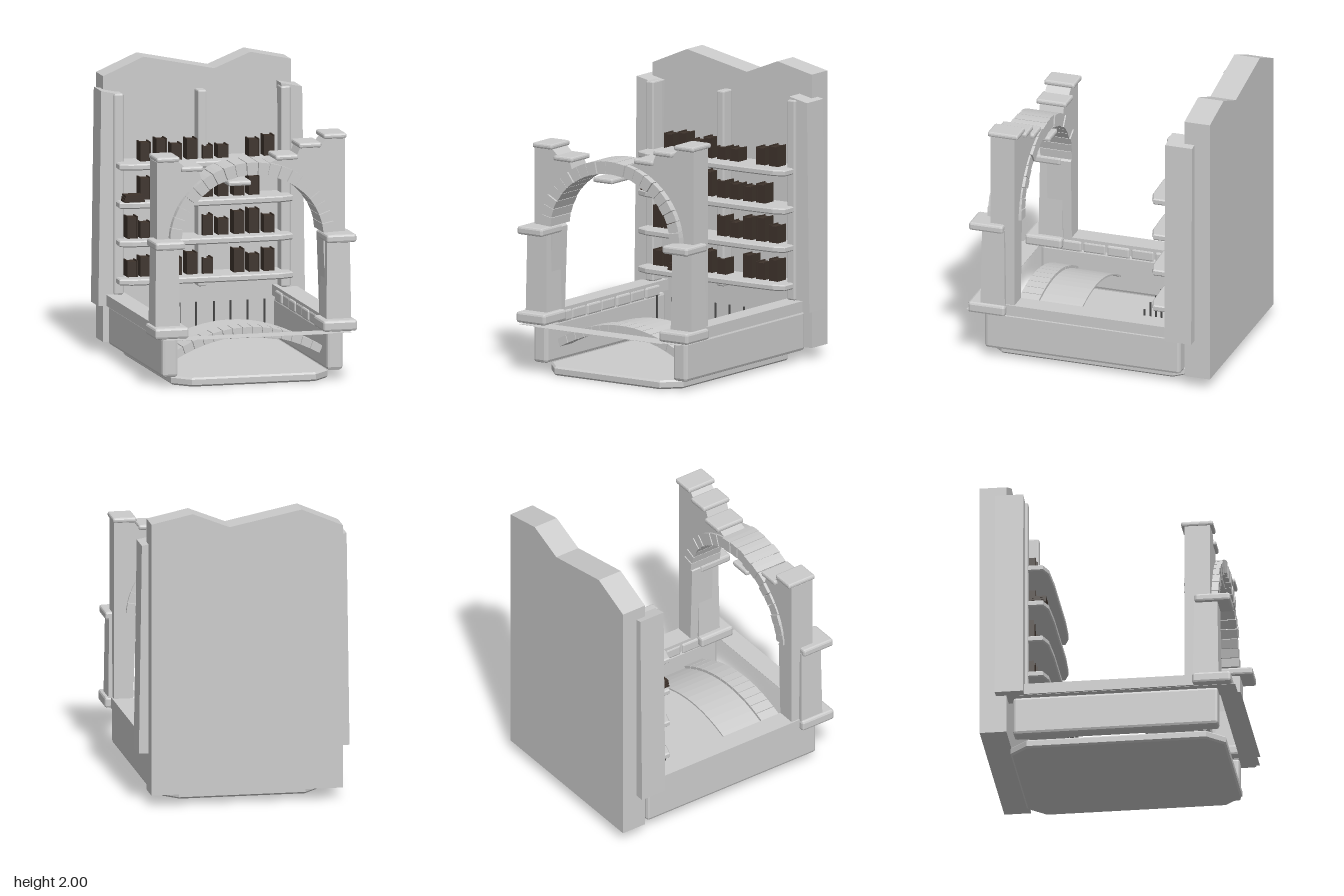
import * as THREE from 'three';
import { RoundedBoxGeometry } from 'three/addons/geometries/RoundedBoxGeometry.js';

export function createModel() {
  const root = new THREE.Group();
  const stone = new THREE.MeshStandardMaterial({ color: 0xcccccc, flatShading: true });
  const thin = new THREE.MeshStandardMaterial({ color: 0xcccccc, side: THREE.DoubleSide });
  const bookMat = new THREE.MeshStandardMaterial({ color: 0x3d322b });
  const metal = new THREE.MeshStandardMaterial({ color: 0x4a4a4a });

  const add = (name, geo, mat = stone, parent = root) => {
    const m = new THREE.Mesh(geo, mat);
    m.name = name;
    parent.add(m);
    return m;
  };
  // Box from its limits; r > 0 chamfers the edges
  const box = (name, x0, x1, y0, y1, z0, z1, r = 0, mat = stone, parent = root) => {
    const s = [x1 - x0, y1 - y0, z1 - z0];
    const geo = r ? new RoundedBoxGeometry(...s, 1, r) : new THREE.BoxGeometry(...s);
    const m = add(name, geo, mat, parent);
    m.position.set((x0 + x1) / 2, (y0 + y1) / 2, (z0 + z1) / 2);
    return m;
  };
  // Same box on the left (+x) and right (-x)
  const pair = (name, x0, x1, ...rest) => {
    box(name + 'Left', x0, x1, ...rest);
    box(name + 'Right', -x1, -x0, ...rest);
  };
  const shapeOf = pts => new THREE.Shape(pts.map(p => new THREE.Vector2(...p)));
  // Front outline extruded from z0 to z1
  const prism = (name, pts, z0, z1, parent = root) => {
    const geo = new THREE.ExtrudeGeometry(shapeOf(pts), { depth: z1 - z0, bevelEnabled: false });
    return add(name, geo.translate(0, 0, z0), stone, parent);
  };
  // Plan outline (x, z) extruded from y0 to y1
  const plate = (name, pts, y0, y1, bevel = 0.008) => {
    const geo = new THREE.ExtrudeGeometry(shapeOf(pts.map(([x, z]) => [x, -z])), {
      depth: y1 - y0 - 2 * bevel, bevelSize: bevel, bevelThickness: bevel, bevelOffset: -bevel, bevelSegments: 1 });
    return add(name, geo.rotateX(-Math.PI / 2).translate(0, y0 + bevel, 0));
  };
  const onEllipse = (a, b, cy, t) => [a * Math.cos(t), cy + b * Math.sin(t)];
  // Row of wedge stones between two ellipses
  const arch = (name, n, t0, t1, outer, inner, z0, z1) => {
    const g = new THREE.Group();
    g.name = name;
    root.add(g);
    for (let i = 0; i < n; i++) {
      const d = (t1 - t0) / n, a = t0 + d * i + d * 0.03, b = t0 + d * (i + 1) - d * 0.03;
      const jut = (i % 3) * 0.004;
      prism('archStone', [onEllipse(...inner, a), onEllipse(...outer, a), onEllipse(...outer, (a + b) / 2),
        onEllipse(...outer, b), onEllipse(...inner, b)], z0 + jut, z1 - jut, g);
    }
  };

  // Ragged back wall and its posts
  prism('backWall', [[-0.65, 0.08], [0.65, 0.08], [0.65, 1.94], [0.37, 2], [0.12, 1.9], [-0.37, 2], [-0.65, 1.88]], -0.87, -0.69);
  prism('backPostLeft', [[0.6, 0.345], [0.715, 0.345], [0.695, 1.77], [0.55, 1.8]], -0.76, -0.57);
  prism('backPostRight', [[-0.715, 0.345], [-0.6, 0.345], [-0.55, 1.77], [-0.695, 1.8]], -0.76, -0.57);
  pair('backPilaster', 0.545, 0.61, 0.42, 1.78, -0.66, -0.55, 0.01);
  box('centrePilaster', -0.03, 0.03, 0.45, 1.78, -0.65, -0.55, 0.01);

  // Foundation slab, side walls and ledges
  plate('foundationSlab', [[-0.54, -0.57], [-0.43, -0.69], [0.43, -0.69], [0.54, -0.57], [0.54, 0.64], [0.43, 0.76], [-0.43, 0.76], [-0.54, 0.64]], 0.005, 0.065, 0.012);
  pair('lowerSideWall', 0.515, 0.625, 0.07, 0.34, -0.65, 0.73, 0.02);
  pair('sideLedge', 0.52, 0.66, 0.345, 0.42, -0.7, 0.57);
  for (let i = 0; i < 7; i++) {
    const z = -0.58 + i * 0.17;
    pair('ledgeBrick', 0.508 + (i % 2) * 0.006, 0.6, 0.325, 0.4, z, z + 0.16, 0.012);
  }
  // Thin paving strips along the front
  pair('sideStrip', 0.52, 0.65, 0.341, 0.343, -0.6, 0.85, 0, thin);
  box('frontStrip', -0.52, 0.52, 0.341, 0.343, 0.73, 0.87, 0, thin);

  // Low vault with its edge arch
  const rise = [];
  for (let i = 0; i <= 16; i++) {
    const x = -0.52 + i * 0.065;
    rise.push([x, 0.345 - 0.15 * (x / 0.52) ** 2]);
  }
  prism('lowVault', [...rise, ...rise.map(([x, y]) => [x, y - 0.012]).reverse()], 0.16, 0.56);
  const lowG = new THREE.Group();
  lowG.name = 'lowArch';
  root.add(lowG);
  for (let i = 0; i < 15; i++) {
    const P = (u, dy) => [u * 0.52, 0.365 + dy - 0.15 * u * u];
    const a = -1 + (2 * i) / 15 + 0.004, b = -1 + (2 * (i + 1)) / 15 - 0.004;
    prism('lowArchStone', [P(a * 0.96, -0.06), P(b * 0.96, -0.06), P(b, 0), P(a, 0)], 0.46, 0.6, lowG);
  }

  // Upright bars under the shelves
  [-0.345, -0.225, -0.11, 0.015, 0.13, 0.245, 0.365].forEach(x => {
    add('bar', new THREE.CylinderGeometry(0.007, 0.007, 0.26, 6), metal).position.set(x, 0.26, -0.31);
  });

  // Front pillars with base and capital
  pair('pillarBase', 0.465, 0.7, 0.345, 0.42, 0.565, 0.825, 0.016);
  [-1, 1].forEach(s => {
    const geo = new THREE.CylinderGeometry(0.078 * Math.SQRT2, 0.086 * Math.SQRT2, 0.55, 4, 1).rotateY(Math.PI / 4);
    add(s > 0 ? 'pillarLeft' : 'pillarRight', geo).position.set(s * 0.592, 0.685, 0.655);
  });
  pair('pillarCapital', 0.49, 0.695, 0.945, 1.0, 0.58, 0.82, 0.014);

  // Broken front wall around the arch, stepped down toward the crown
  const opening = [];
  for (let i = 0; i <= 20; i++) opening.push(onEllipse(0.53, 0.48, 0.98, Math.PI * (0.02 + 0.96 * i / 20)));
  prism('frontWall', [[0.65, 0.4], [0.65, 1.63], [0.52, 1.63], [0.47, 1.575], [0.34, 1.575], [0.31, 1.505], [0.18, 1.505], [0.13, 1.485],
    [0, 1.495], [-0.2, 1.465], [-0.34, 1.39], [-0.36, 1.45], [-0.43, 1.455], [-0.5, 1.52], [-0.65, 1.52], [-0.65, 0.4], [-0.52, 0.4],
    [-0.5, 0.98], ...opening.reverse(), [0.5, 0.98], [0.52, 0.4]], 0.51, 0.68);
  arch('mainArch', 21, 0.05, Math.PI - 0.05, [0.57, 0.52, 0.98], [0.49, 0.435, 0.98], 0.49, 0.73);

  // Flat coping stones
  [[-0.655, -0.495, 1.52], [-0.485, -0.33, 1.45], [-0.16, 0, 1.34], [0.17, 0.325, 1.5], [0.33, 0.485, 1.575], [0.5, 0.66, 1.63]]
    .forEach(([x0, x1, y]) => box('copingStone', x0, x1, y, y + 0.035, 0.485, 0.7, 0.012));

  // Shelves
  const shelf = [[-0.55, -0.67], [0.55, -0.67], [0.56, -0.57], [0.6, -0.55], [0.6, -0.45], [0.52, -0.42],
    [0.3, -0.41], [-0.3, -0.41], [-0.52, -0.42], [-0.6, -0.45], [-0.6, -0.55], [-0.56, -0.57]];
  const shelfY = [0.54, 0.8, 1.06, 1.32];
  shelfY.forEach(y => plate('shelf', shelf, y - 0.042, y));

  // Books: [x, height] for each shelf, from the lowest up
  const rows = [
    [[-0.49, 0.11], [-0.4, 0.135], [-0.29, 0.16], [-0.185, 0.12], [-0.08, 0.15], [0.03, 0.11], [0.245, 0.16], [0.35, 0.12], [0.455, 0.15]],
    [[-0.49, 0.15], [-0.4, 0.11], [-0.29, 0.14], [-0.185, 0.165], [0.03, 0.14], [0.135, 0.11], [0.245, 0.155], [0.35, 0.165], [0.455, 0.12]],
    [[-0.4, 0.15], [-0.185, 0.13], [-0.08, 0.17], [0.03, 0.12], [0.135, 0.11], [0.245, 0.105], [0.35, 0.13]],
    [[-0.4, 0.13], [-0.29, 0.15], [-0.185, 0.11], [-0.08, 0.14], [0.03, 0.09], [0.135, 0.09], [0.35, 0.12], [0.455, 0.14]],
  ];
  const books = new THREE.Group();
  books.name = 'books';
  root.add(books);
  rows.forEach((row, i) => row.forEach(([x, h]) => {
    const y = shelfY[i];
    box('bookPages', x - 0.03, x + 0.03, y, y + h - 0.008, -0.615, -0.525, 0, bookMat, books);
    [-1, 1].forEach(s => box('bookCover', x + s * 0.032 - 0.004, x + s * 0.032 + 0.004, y, y + h, -0.62, -0.52, 0, bookMat, books));
  }));
  // Lying stacks
  [[-0.28, 0.54], [-0.5, 1.06]].forEach(([x, y]) => {
    for (let i = 0; i < 3; i++)
      box('lyingBook', x - 0.07 + i * 0.004, x + 0.07 - i * 0.006, y + i * 0.017, y + 0.014 + i * 0.017, -0.53, -0.435, 0, bookMat, books);
  });

  return root;
}
